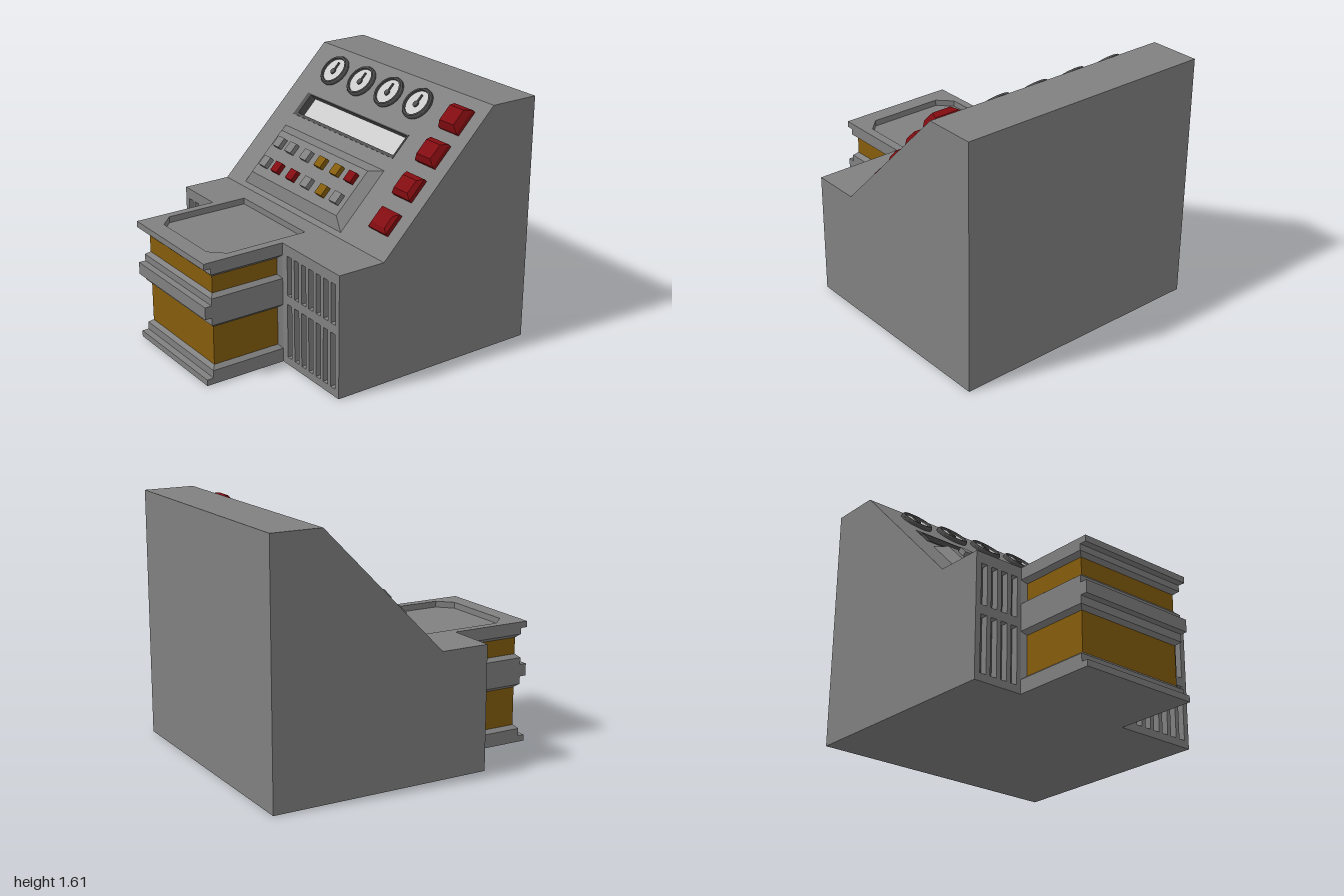
import * as THREE from 'three';

const mat = (color) => new THREE.MeshStandardMaterial({ color, flatShading: true });
const GREY = mat(0x808080), AMBER = mat(0x855c0c), RED = mat(0x820c10), LIGHT = mat(0xcccccc), DARK = mat(0x505050);

function add(parent, name, geometry, material = GREY) {
  const mesh = new THREE.Mesh(geometry, material);
  mesh.name = name;
  parent.add(mesh);
  return mesh;
}

// Block between y0 and y1; rectangles are [x0, x1, z0, z1], the top one may be smaller
function block(y0, y1, base, top = base) {
  const g = new THREE.BoxGeometry(1, 1, 1);
  const p = g.attributes.position;
  for (let i = 0; i < p.count; i++) {
    const up = p.getY(i) > 0, r = up ? top : base;
    p.setXYZ(i, r[p.getX(i) > 0 ? 1 : 0], up ? y1 : y0, r[p.getZ(i) > 0 ? 3 : 2]);
  }
  g.computeVertexNormals();
  return g;
}

const shapeOf = (pts) => new THREE.Shape(pts.map(([x, y]) => new THREE.Vector2(x, y)));
const pathOf = (pts) => new THREE.Path(pts.map(([x, y]) => new THREE.Vector2(x, y)));
const extrude = (shape, depth) => new THREE.ExtrudeGeometry(shape, { depth, bevelEnabled: false });

const HALF = 0.8625;                      // half width of the cabinet in z
const DESK = { z0: -0.525, z1: 0.28 };    // width of the desk in z
const SLOPE = Math.atan2(0.81, 0.8);
const WINDOW = { u0: 0.59, u1: 0.765, z0: -0.675, z1: 0.4, depth: 0.055 };

// Point on the sloped panel: u runs up the slope, n out of it
const onSlope = (u, n) => [
  -0.13 + u * Math.cos(SLOPE) - n * Math.sin(SLOPE),
  0.8 + u * Math.sin(SLOPE) + n * Math.cos(SLOPE),
];

function cabinet() {
  const g = new THREE.Group();
  g.name = 'cabinet';
  // Body in three slices; the middle one carries the window recess
  const { u0, u1, z0, z1, depth } = WINDOW;
  const notch = [onSlope(u1, 0), onSlope(u1, -depth), onSlope(u0, -depth), onSlope(u0, 0)];
  for (const [a, b, cut] of [[-HALF, z0, []], [z0, z1, notch], [z1, HALF, []]]) {
    const profile = [[-0.4, 0], [1, 0], [1, 1.61], [0.67, 1.61], ...cut, [-0.13, 0.8], [-0.13, 0.76], [-0.4, 0.76]];
    add(g, 'body', extrude(shapeOf(profile), b - a)).position.z = a;
  }
  // Front wall with two rows of vent slots on each side of the desk, dark behind
  const wall = shapeOf([[-HALF, 0], [HALF, 0], [HALF, 0.76], [-HALF, 0.76]]);
  for (const [start, count] of [[-0.825, 4], [0.33, 7]]) {
    for (let i = 0; i < count; i++) {
      const a = start + i * 0.075, b = a + 0.045;
      for (const [lo, hi] of [[0.05, 0.41], [0.47, 0.73]]) {
        wall.holes.push(pathOf([[a, lo], [a, hi], [b, hi], [b, lo]]));
      }
    }
    const end = start + (count - 1) * 0.075 + 0.045;
    add(g, 'ventBacking', block(0.04, 0.74, [-0.405, -0.395, start - 0.01, end + 0.01]), DARK);
  }
  const vent = add(g, 'ventWall', extrude(wall, 0.05));
  vent.rotation.y = -Math.PI / 2;
  vent.position.x = -0.4;
  return g;
}

function desk() {
  const g = new THREE.Group();
  g.name = 'desk';
  const { z0, z1 } = DESK;
  // Worktop with a sunken tray that has two cut corners
  const top = shapeOf([[-1, -z1], [-0.45, -z1], [-0.45, -HALF], [-0.13, -HALF], [-0.13, HALF], [-0.45, HALF], [-0.45, -z0], [-1, -z0]]);
  top.holes.push(pathOf([[-0.89, -0.13], [-0.89, 0.38], [-0.8, 0.47], [-0.245, 0.47], [-0.245, -0.22], [-0.8, -0.22]]));
  const worktop = add(g, 'worktop', extrude(top, 0.04));
  worktop.rotation.x = -Math.PI / 2;
  worktop.position.y = 0.76;

  // Grey bands with projecting lips
  const outer = [-0.955, -0.45, z0, z1], inner = [-0.93, -0.45, z0 + 0.03, z1 - 0.03];
  for (const [lo, hi] of [[0, 0.09], [0.39, 0.565], [0.72, 0.76]]) add(g, 'band', block(lo, hi, outer));
  for (const [lo, hi] of [[0, 0.04], [0.44, 0.52]]) add(g, 'lip', block(lo, hi, [-1, -0.955, z0, z1]));

  // Amber panels set in bevelled recesses
  for (const [lo, hi] of [[0.09, 0.39], [0.565, 0.72]]) {
    add(g, 'amberPanel', block(lo + 0.022, hi - 0.024, inner), AMBER);
    add(g, 'lowerBevel', block(lo, lo + 0.022, outer, inner));
    add(g, 'upperBevel', block(hi - 0.024, hi, inner, outer));
    for (const [edge, dir] of [[z0, 1], [z1, -1]]) {
      const tri = [[-0.45, -edge], [-0.47, -(edge + dir * 0.03)], [-0.45, -(edge + dir * 0.03)]];
      const bevel = add(g, 'sideBevel', extrude(shapeOf(tri), hi - lo));
      bevel.rotation.x = -Math.PI / 2;
      bevel.position.y = lo;
    }
  }
  return g;
}

function gauge(u, z) {
  const g = new THREE.Group();
  g.name = 'gauge';
  const ring = [[0.11, 0], [0.11, 0.016], [0.102, 0.028], [0.09, 0.028], [0.087, 0.01]];
  add(g, 'gaugeRim', new THREE.LatheGeometry(ring.map(([x, y]) => new THREE.Vector2(x, y)), 24), DARK);
  add(g, 'gaugeFace', new THREE.CylinderGeometry(0.09, 0.09, 0.014, 24), LIGHT).position.y = 0.007;
  add(g, 'needleHub', new THREE.CylinderGeometry(0.02, 0.02, 0.012, 12), DARK).position.set(-0.01, 0.018, 0);
  add(g, 'needle', block(0.012, 0.022, [-0.01, 0.06, -0.008, 0.008], [-0.01, 0.06, -0.006, 0.006]), DARK);
  g.position.set(u, 0, z);
  return g;
}

// Strip display at the bottom of its recess, inside a dark frame
function display() {
  const g = new THREE.Group();
  g.name = 'display';
  const { u0, u1, z0, z1, depth } = WINDOW;
  const [a, b, c, d] = [u0 + 0.02, u1 - 0.008, z0 + 0.04, z1 - 0.012];
  const rim = shapeOf([[u0, -z1], [u1, -z1], [u1, -z0], [u0, -z0]]);
  rim.holes.push(pathOf([[a, -d], [a, -c], [b, -c], [b, -d]]));
  const frame = add(g, 'displayFrame', extrude(rim, depth + 0.003), DARK);
  frame.rotation.x = -Math.PI / 2;
  frame.position.y = -depth;
  add(g, 'displayStrip', block(-depth, -depth + 0.006, [a, b, c, d]), LIGHT);
  return g;
}

function controlPanel() {
  const g = new THREE.Group();
  g.name = 'controlPanel';
  // Raised keypad
  add(g, 'keypadBase', block(0, 0.05, [0.035, 0.498, -0.67, 0.4], [0.105, 0.441, -0.61, 0.335]));
  const rows = [-0.525, -0.387, -0.218, -0.057, 0.11, 0.26];
  const columns = [[0.201, [GREY, RED, RED, GREY, AMBER, GREY]], [0.357, [GREY, GREY, GREY, AMBER, AMBER, RED]]];
  for (const [u, colors] of columns) {
    rows.forEach((z, i) => add(g, 'button',
      block(0.05, 0.082, [u - 0.036, u + 0.036, z - 0.035, z + 0.035]), colors[i]));
  }
  g.add(display());
  for (const z of [-0.57, -0.277, 0.012, 0.303]) g.add(gauge(0.973, z));

  // Red rocker switches, growing taller up the slope: [u, half length, height]
  for (const [u, h, t] of [[0.219, 0.074, 0.046], [0.469, 0.079, 0.055], [0.719, 0.084, 0.063], [0.968, 0.087, 0.068]]) {
    const foot = [u - h, u + h, 0.597, 0.765];
    add(g, 'switchBase', block(0, 0.026, foot), RED);
    add(g, 'switchCap', block(0.026, t, foot, [u - h + 0.03, u + h - 0.035, 0.617, 0.745]), RED);
  }
  g.position.set(-0.13, 0.8, 0);
  g.rotation.z = SLOPE;
  return g;
}

export function createModel() {
  const model = new THREE.Group();
  model.name = 'controlConsole';
  model.add(cabinet(), desk(), controlPanel());
  return model;
}
